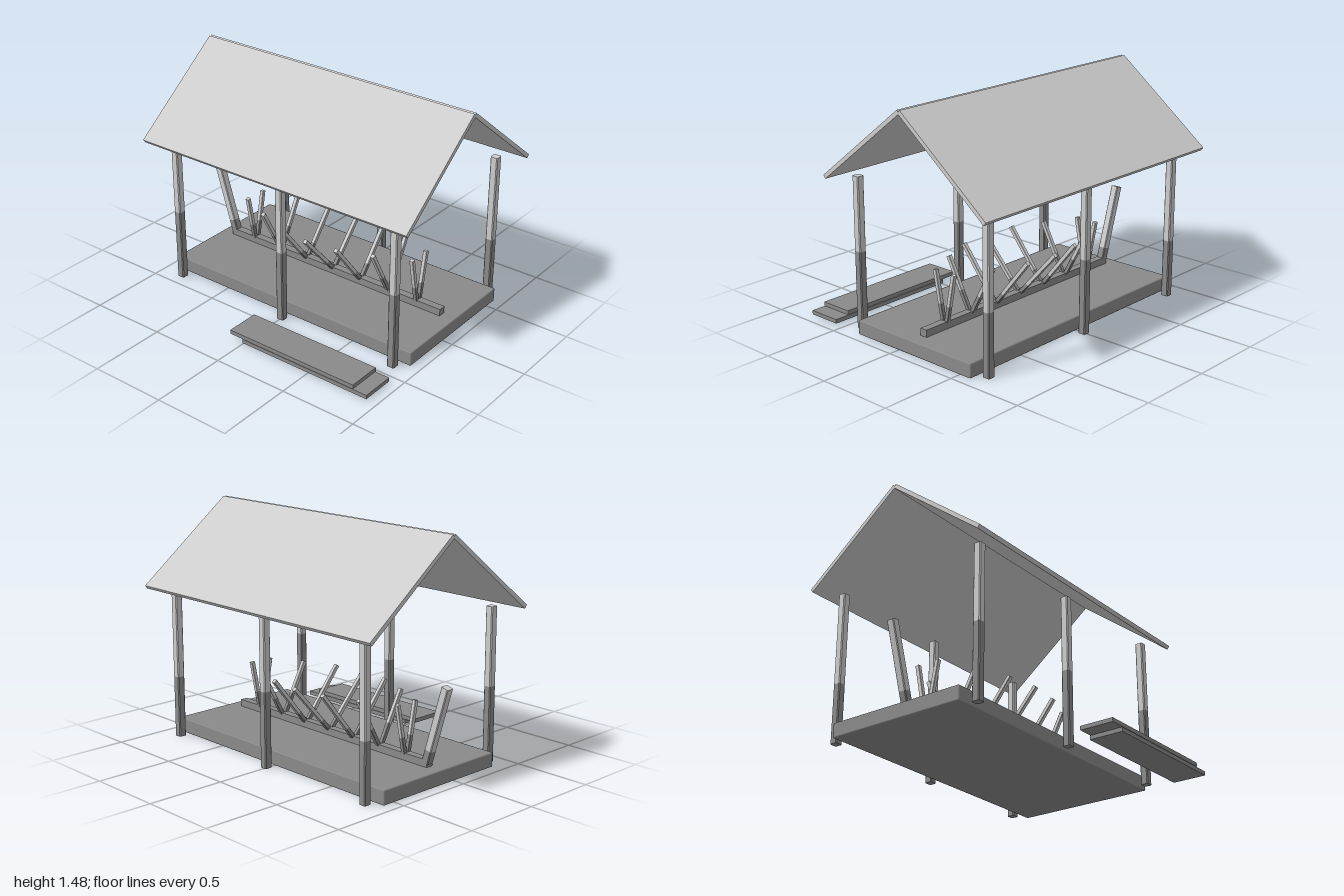
import * as THREE from 'three';
import { RoundedBoxGeometry } from 'three/addons/geometries/RoundedBoxGeometry.js';

const CX = 0.12; // centre line of the shed
const UP = new THREE.Vector3(0, 1, 0);

export function createModel() {
  const model = new THREE.Group();
  model.name = 'boatShed';

  const paleWood = new THREE.MeshStandardMaterial({ color: 0xcccccc });
  paleWood.name = 'pale wood';
  const darkWood = new THREE.MeshStandardMaterial({ color: 0x8a8a8a });
  darkWood.name = 'dark wood';

  function add(parent, name, geometry, material, x = 0, y = 0, z = 0) {
    const mesh = new THREE.Mesh(geometry, material);
    mesh.name = name;
    mesh.position.set(x, y, z);
    parent.add(mesh);
    return mesh;
  }

  // Bar of chamfered section standing on its lower end, running up +y
  function barGeometry(w, d, length, c) {
    const x = w / 2, y = d / 2;
    const shape = new THREE.Shape([
      [x - c, -y], [x, c - y], [x, y - c], [x - c, y],
      [c - x, y], [-x, y - c], [-x, c - y], [c - x, -y],
    ].map(([u, v]) => new THREE.Vector2(u, v)));
    return new THREE.ExtrudeGeometry(shape, { depth: length, bevelEnabled: false }).rotateX(-Math.PI / 2);
  }

  // Timber from a to b, dark below the height splitY and pale above
  function timber(name, a, b, w, d, splitY, chamfer) {
    const from = new THREE.Vector3(...a);
    const dir = new THREE.Vector3(...b).sub(from);
    const length = dir.length();
    const cut = length * (splitY - a[1]) / (b[1] - a[1]);
    const group = new THREE.Group();
    group.name = name;
    group.position.copy(from);
    group.quaternion.setFromUnitVectors(UP, dir.normalize());
    add(group, name + 'Lower', barGeometry(w, d, cut, chamfer), darkWood);
    add(group, name + 'Upper', barGeometry(w, d, length - cut, chamfer), paleWood, 0, cut, 0);
    model.add(group);
  }

  // Platform with softly chamfered edges
  add(model, 'platform', new RoundedBoxGeometry(0.932, 0.093, 1.862, 1, 0.008), darkWood, CX, 0.0485, 0.002);

  // Keel and raked stern post
  add(model, 'keel', new THREE.BoxGeometry(0.05, 0.05, 1.68), darkWood, CX, 0.116, 0);
  timber('sternPost', [CX, 0.12, -0.822], [CX, 0.6, -0.968], 0.05, 0.05, 0.2, 0.005);

  // Pairs of ribs, spreading widest amidships
  const spread = [0.293, 0.265, 0.18, 0.075];
  const ribSplit = [0.2, 0.2, 0.25, 0.24];
  for (let i = -3; i <= 3; i++) {
    const k = Math.abs(i), z = 0.003 + i * 0.2183;
    for (const [side, name] of [[1, 'leftRib'], [-1, 'rightRib']]) {
      timber(name, [CX + side * 0.015, 0.135, z], [CX + side * spread[k], 0.445, z],
        0.026, 0.026, ribSplit[k], 0.002);
    }
  }

  // Roof posts
  const posts = [
    ['leftPost', 0.645, [0.38, 0.48, 0.4]],
    ['rightPost', -0.405, [0.48, 0.48, 0.5]],
  ];
  for (const [name, x, splits] of posts) {
    splits.forEach((split, i) => {
      const z = 0.003 + (i - 1) * 0.842;
      timber(name, [x, 0.004, z], [x, 0.972, z], 0.05, 0.05, split, 0.006);
    });
  }

  // Two sloping roof panels meeting at the ridge
  for (const [side, name] of [[1, 'leftRoof'], [-1, 'rightRoof']]) {
    const panel = add(model, name, new THREE.BoxGeometry(0.815, 0.026, 2), paleWood, CX + side * 0.3235, 1.2235, 0);
    panel.rotation.z = -side * 0.6615;
  }

  // Stack of two spare planks beside the shed
  const plank = new THREE.BoxGeometry(0.222, 0.026, 0.928);
  add(model, 'lowerPlank', plank, darkWood, -0.667, 0.0235, 0.465);
  add(model, 'upperPlank', plank, darkWood, -0.667, 0.0525, 0.369);

  return model;
}
